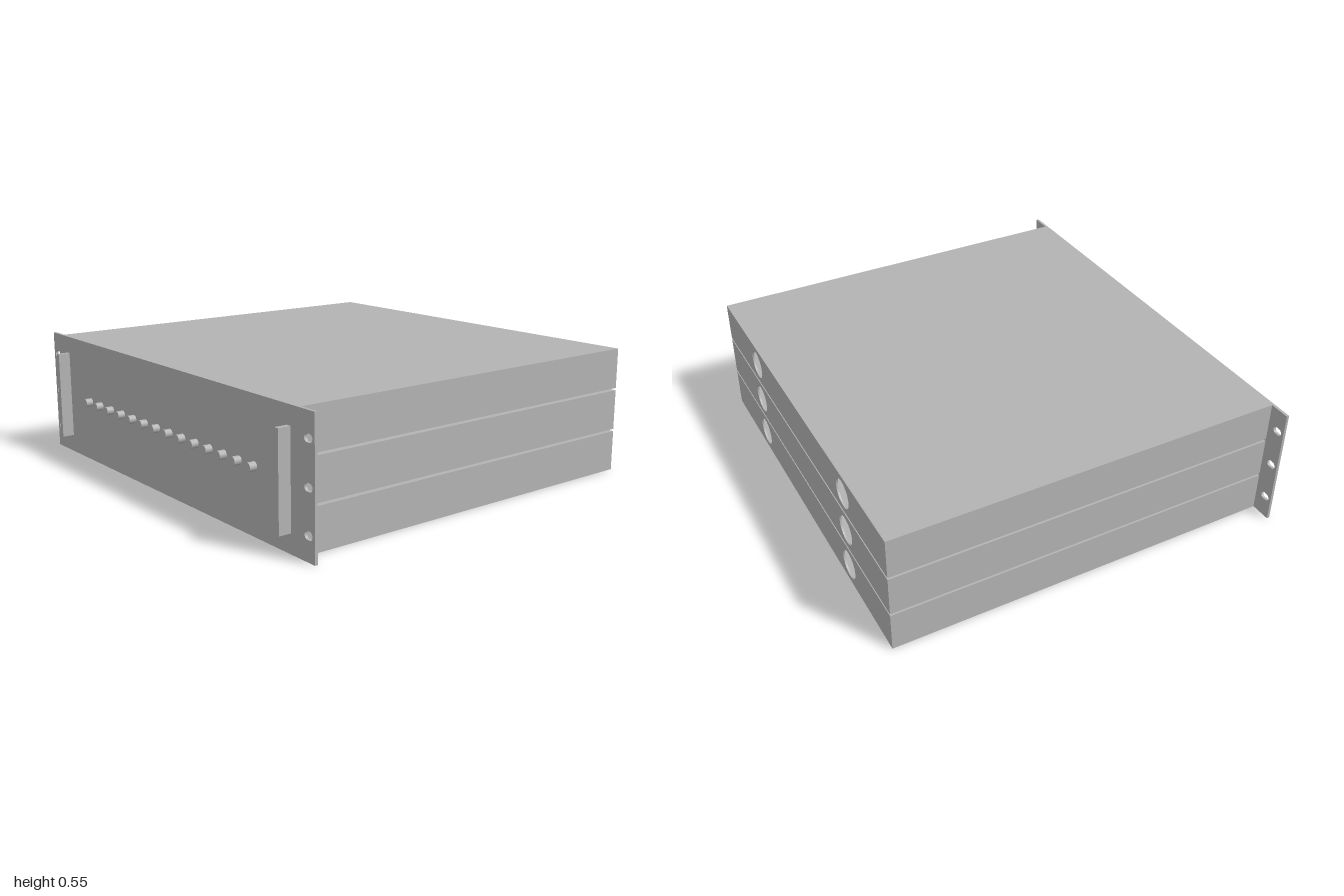
import * as THREE from 'three';

const sheetMetal = new THREE.MeshStandardMaterial({ color: 0xb3b3b3 });
sheetMetal.name = 'sheet metal grey';

const HALF_W = 0.91, BACK = -0.895, PANEL_BACK = 0.83, PANEL_FRONT = 0.842;
const HEIGHT = 0.545, UNIT_H = 0.175, PITCH = 0.185, T = 0.008;

function add(parent, name, geometry, x = 0, y = 0, z = 0) {
  const mesh = new THREE.Mesh(geometry, sheetMetal);
  mesh.name = name;
  mesh.position.set(x, y, z);
  parent.add(mesh);
  return mesh;
}

function rect(Type, x0, y0, x1, y1) {
  const p = new Type();
  p.moveTo(x0, y0);
  p.lineTo(x1, y0);
  p.lineTo(x1, y1);
  p.lineTo(x0, y1);
  p.closePath();
  return p;
}

const extrude = (shape, depth) =>
  new THREE.ExtrudeGeometry(shape, { depth, bevelEnabled: false, curveSegments: 16 });

// Rounded horizontal mounting slot
function slot(cx, cy, width, height) {
  const r = height / 2, d = width / 2 - r;
  const p = new THREE.Path();
  p.absarc(cx + d, cy, r, -Math.PI / 2, Math.PI / 2);
  p.absarc(cx - d, cy, r, Math.PI / 2, Math.PI * 1.5);
  p.closePath();
  return p;
}

// Hollow sheet-metal case with two round openings in its rear plate
function caseUnit() {
  const unit = new THREE.Group();
  unit.name = 'caseUnit';

  const shell = rect(THREE.Shape, -HALF_W, 0, HALF_W, UNIT_H);
  shell.holes.push(rect(THREE.Path, -HALF_W + T, T, HALF_W - T, UNIT_H - T));
  add(unit, 'caseShell', extrude(shell, PANEL_BACK - BACK - T), 0, 0, BACK + T);

  const rear = rect(THREE.Shape, -HALF_W, 0, HALF_W, UNIT_H);
  for (const x of [-0.5, 0.5]) {
    const hole = new THREE.Path();
    hole.absarc(x, UNIT_H / 2, 0.063, 0, Math.PI * 2);
    rear.holes.push(hole);
  }
  add(unit, 'rearPlate', extrude(rear, T), 0, 0, BACK);

  // Inner tray set back from the rear plate
  const trayBack = BACK + 0.14, depth = PANEL_BACK - trayBack;
  add(unit, 'innerTray', new THREE.BoxGeometry(2 * (HALF_W - T), T, depth),
    0, T * 1.5, trayBack + depth / 2);
  return unit;
}

export function createModel() {
  const model = new THREE.Group();
  model.name = 'rackUnit';

  // Three stacked cases with narrow gaps between them
  for (let i = 0; i < 3; i++) {
    const unit = caseUnit();
    unit.position.y = i * PITCH;
    model.add(unit);
  }

  // Front panel with slotted ears
  const panel = rect(THREE.Shape, -1, 0, 1, HEIGHT);
  for (const x of [-0.964, 0.964])
    for (const y of [0.099, 0.273, 0.447]) panel.holes.push(slot(x, y, 0.046, 0.032));
  add(model, 'frontPanel', extrude(panel, PANEL_FRONT - PANEL_BACK), 0, 0, PANEL_BACK);

  // Grab handles
  const handleDepth = 0.895 - PANEL_FRONT;
  for (const side of [-1, 1])
    add(model, side > 0 ? 'leftHandle' : 'rightHandle',
      new THREE.BoxGeometry(0.021, 0.39, handleDepth),
      side * 0.853, 0.274, PANEL_FRONT + handleDepth / 2);

  // Row of knobs
  const knob = new THREE.CylinderGeometry(0.018, 0.018, 0.031, 16).rotateX(Math.PI / 2);
  for (let i = 0; i < 14; i++)
    add(model, 'knob', knob, -0.643 + i * 0.0989, 0.274, PANEL_FRONT + 0.0155);

  return model;
}
